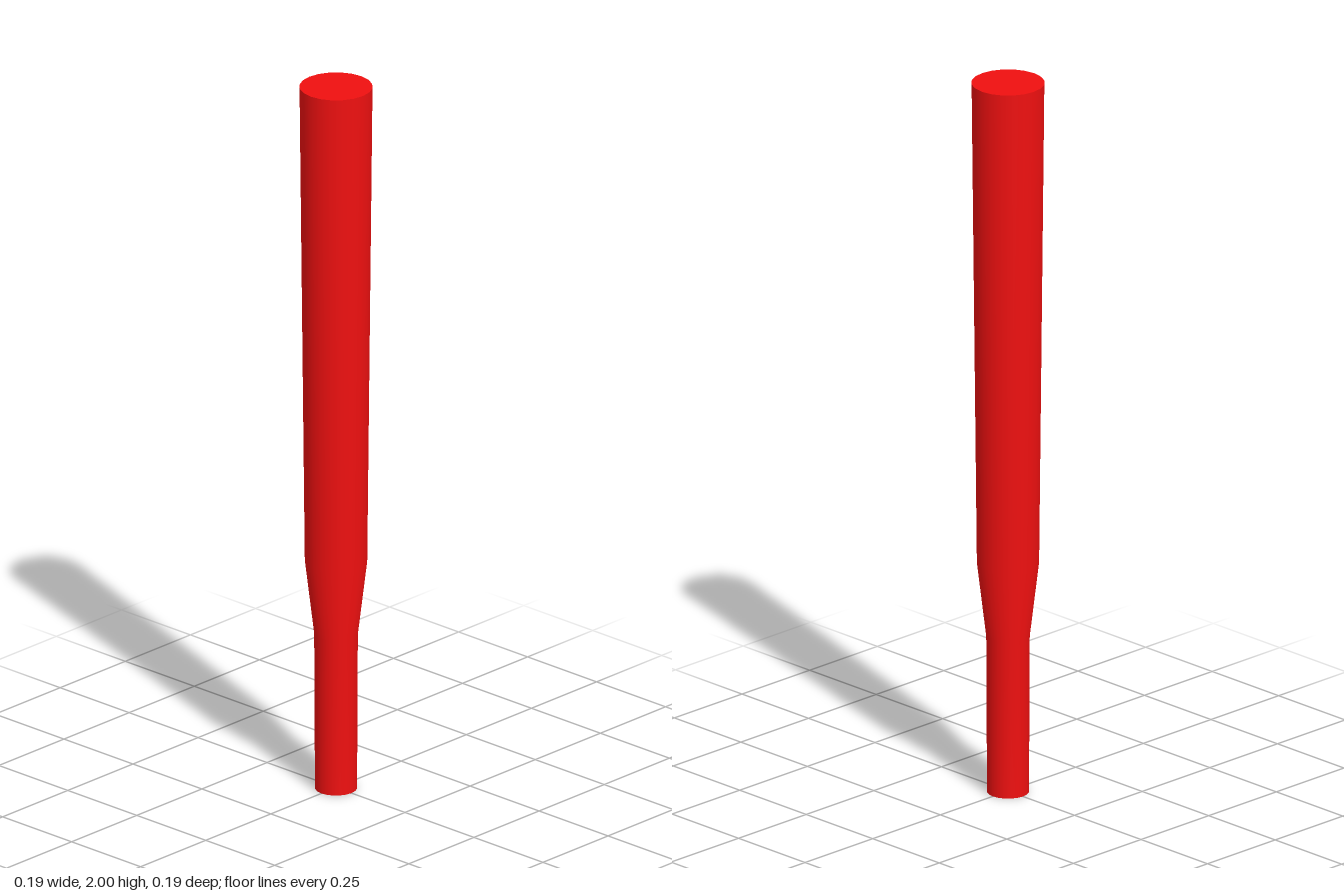
import * as THREE from 'three';

const SIDES = 20;

export function createModel() {
  const group = new THREE.Group();
  group.name = 'taperedRod';
  const material = new THREE.MeshStandardMaterial({ color: 0xf01010 });

  function add(name, geometry, y = 0, tilt = 0) {
    const mesh = new THREE.Mesh(geometry, material);
    mesh.name = name;
    mesh.position.y = y;
    mesh.rotation.x = tilt;
    group.add(mesh);
  }

  // Radius and height: narrow grip, flare, slowly widening barrel
  const profile = [
    [0.056, 0],
    [0.058, 0.44],
    [0.083, 0.65],
    [0.097, 2],
  ].map(([r, y]) => new THREE.Vector2(r, y));
  add('shaft', new THREE.LatheGeometry(profile, SIDES));

  // Flat ends
  add('topCap', new THREE.CircleGeometry(0.097, SIDES), 2, -Math.PI / 2);
  add('bottomCap', new THREE.CircleGeometry(0.056, SIDES), 0, Math.PI / 2);

  return group;
}
